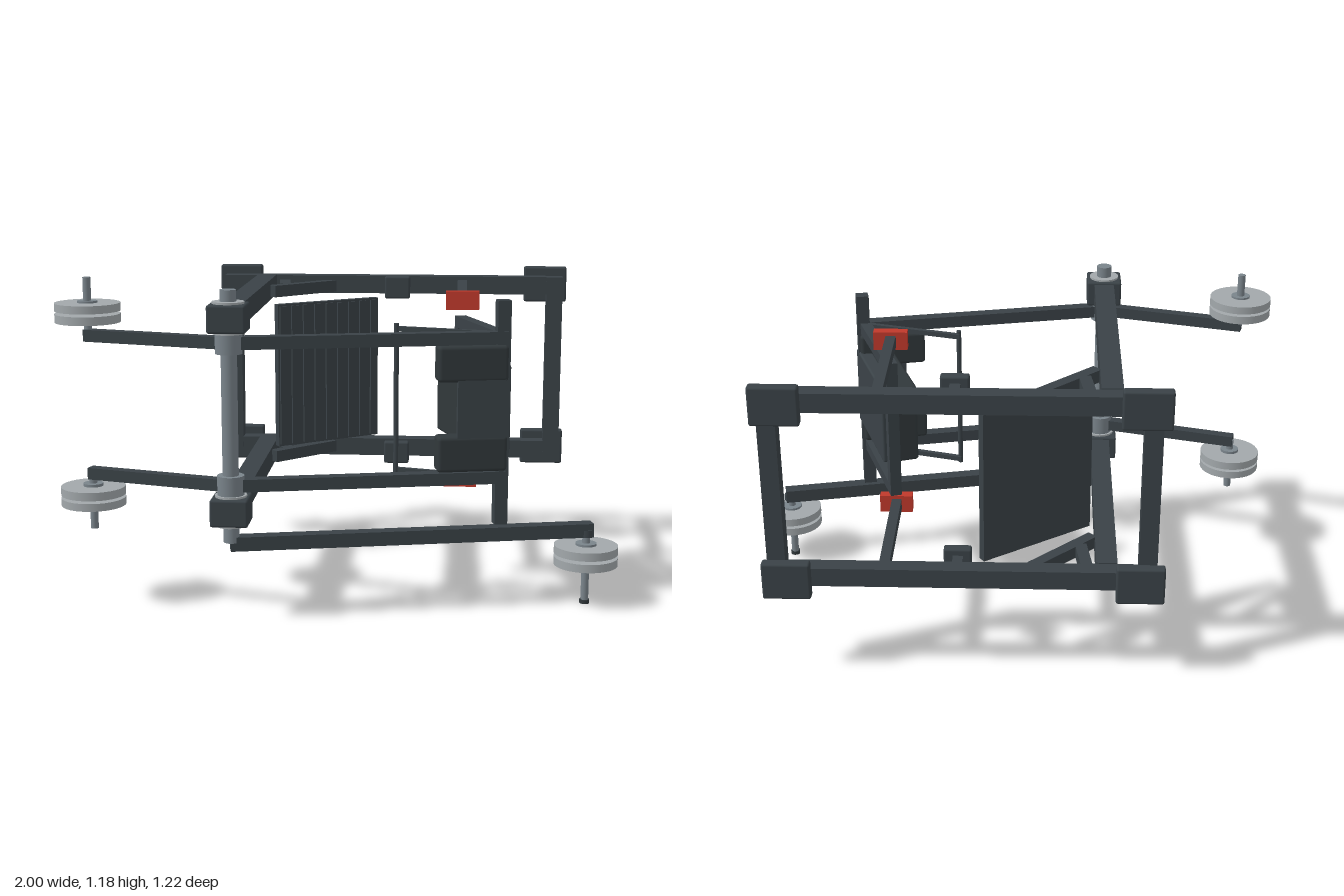
import * as THREE from 'three';
import { RoundedBoxGeometry } from 'three/addons/geometries/RoundedBoxGeometry.js';

const mat = (name, color) => {
  const m = new THREE.MeshStandardMaterial({ color });
  m.name = name;
  return m;
};

export function createModel() {
  const frame = mat('charcoal frame', 0x3a4247);
  const pad = mat('dark padding', 0x31383b);
  const steel = mat('grey steel', 0x7a848b);
  const plate = mat('pale plates', 0xa2a8ab);
  const red = mat('red', 0xc0392b);
  const model = new THREE.Group();

  const add = (parent, name, geo, m, x, y, z) => {
    const mesh = new THREE.Mesh(geo, m);
    mesh.name = name;
    mesh.position.set(x, y, z);
    parent.add(mesh);
    return mesh;
  };
  // box given by its limits on each axis
  const box = (name, m, x0, x1, y0, y1, z0, z1, parent = model) =>
    add(parent, name, new THREE.BoxGeometry(x1 - x0, y1 - y0, z1 - z0), m,
      (x0 + x1) / 2, (y0 + y1) / 2, (z0 + z1) / 2);
  const softBox = (name, m, x0, x1, y0, y1, z0, z1, r, parent = model) =>
    add(parent, name, new RoundedBoxGeometry(x1 - x0, y1 - y0, z1 - z0, 2, r), m,
      (x0 + x1) / 2, (y0 + y1) / 2, (z0 + z1) / 2);
  // upright cylinder between two heights
  const cyl = (name, m, r, y0, y1, x, z, seg = 32) =>
    add(model, name, new THREE.CylinderGeometry(r, r, y1 - y0, seg), m, x, (y0 + y1) / 2, z);
  // level beam between two (x, z) points
  const beam = (name, m, a, b, y, w, h) => {
    const dx = b[0] - a[0], dz = b[1] - a[1];
    const mesh = add(model, name, new THREE.BoxGeometry(Math.hypot(dx, dz), h, w), m,
      (a[0] + b[0]) / 2, y, (a[1] + b[1]) / 2);
    mesh.rotation.y = Math.atan2(-dz, dx);
    return mesh;
  };

  const MID = 0.73;           // mirror height of the frame
  const px = -0.365, pz = 0.54; // pivot post

  // Base frame
  for (const x of [-0.505, 0.79]) box('baseUpright', frame, x - 0.032, x + 0.032, 0.36, 1.1, -0.575, -0.51);
  for (const s of [-1, 1]) {
    const y = MID + s * 0.335;
    box('baseRail', frame, -0.537, 0.822, y - 0.035, y + 0.035, -0.575, -0.512);
    for (const x of [-0.48, 0.755])
      softBox('foot', frame, x - 0.085, x + 0.085, y - 0.07, y + 0.07, -0.612, -0.57, 0.008);

    // Long beams and pivot housings
    box('sideBeam', frame, -0.402, -0.327, y - 0.039, y + 0.039, -0.512, 0.5);
    softBox('pivotHousing', frame, px - 0.066, px + 0.066, y - 0.048, y + 0.048, 0.475, 0.607, 0.008);
    cyl('pivotNut', plate, 0.056, y - 0.055, y + 0.055, px, pz, 18);

    // Foot plate braces
    beam('footBrace', frame, [-0.32, -0.29], [-0.1, -0.51], y - s * 0.005, 0.042, 0.045);
    beam('footStrut', frame, [-0.275, -0.36], [-0.295, -0.515], y - s * 0.005, 0.042, 0.045);

    // Bumpers
    box('bumperStem', frame, 0.145, 0.182, y - 0.02, y + 0.02, -0.512, -0.44);
    softBox('bumper', frame, 0.115, 0.215, y - 0.044, y + 0.044, -0.445, -0.405, 0.008);

    // Stop rods with red stops
    box('stopRod', frame, 0.403, 0.44, y - 0.021, y + 0.021, -0.512, -0.02);
    box('redStop', red, 0.362, 0.485, y - 0.034, y + 0.034, -0.028, 0.01);

    // Swinging arms and collars
    const ya = MID + s * 0.248;
    beam('swingArm', frame, [px, pz], [0.58, 0.332], ya, 0.046, 0.044);
    beam('weightArm', frame, [px, pz], [-0.895, 0.388], ya, 0.04, 0.042);
    cyl('collar', steel, 0.047, ya - 0.036, ya + 0.036, px, pz);

    // Grip supports
    beam('gripSupport', frame, [0.185, 0.215], [0.57, 0.325], ya + s * 0.01, 0.018, 0.018);

    // Upper weights on their pegs
    const peg = (a, b) => [Math.min(a, b), Math.max(a, b)];
    const disc = (name, m, r, a, b) =>
      cyl(name, m, r, ...peg(MID + s * a, MID + s * b), -0.885, 0.39);
    disc('weightPeg', steel, 0.014, 0.245, 0.452);
    disc('weightHub', steel, 0.035, 0.285, 0.37);
    disc('weightPlate', plate, 0.115, 0.295, 0.325);
    disc('weightPlate', plate, 0.115, 0.335, 0.363);
  }

  // Pivot post and grip bar
  cyl('pivotPost', steel, 0.028, 0.28, 1.16, px, pz);
  cyl('gripBar', frame, 0.009, 0.455, 1.008, 0.19, 0.222, 16);

  // Low weight arm with its plates
  beam('lowArm', frame, [px - 0.005, pz], [0.9, 0.26], 0.275, 0.05, 0.05);
  cyl('lowPegHub', frame, 0.027, 0.25, 0.276, 0.88, 0.268);
  cyl('lowPeg', steel, 0.014, 0.008, 0.27, 0.88, 0.268);
  cyl('lowPegCap', pad, 0.018, 0, 0.014, 0.88, 0.268);
  cyl('lowWeightHub', steel, 0.038, 0.14, 0.226, 0.88, 0.268);
  for (const y of [0.146, 0.188]) cyl('lowWeightPlate', plate, 0.115, y, y + 0.03, 0.88, 0.268);

  // Ribbed foot plate, ribs facing outwards
  const foot = new THREE.Group();
  foot.name = 'footPlate';
  foot.position.set(-0.105, MID, -0.382);
  foot.rotation.y = 0.62;
  model.add(foot);
  box('footBoard', frame, -0.23, 0.23, -0.282, 0.282, -0.028, 0, foot);
  for (let i = 0; i < 9; i++) {
    const x = -0.208 + i * 0.052;
    box('footRib', frame, x - 0.016, x + 0.016, -0.275, 0.275, -0.002, 0.008, foot);
  }

  // Tilted back rest: local x runs through its thickness, local z along its length
  const back = new THREE.Group();
  back.name = 'backRest';
  back.rotation.y = 0.336;
  model.add(back);
  softBox('backPad', pad, 0.317, 0.402, 0.578, 0.88, 0.1, 0.475, 0.012, back);
  softBox('backBoard', frame, 0.4, 0.452, 0.578, 0.882, 0.112, 0.52, 0.008, back);
  for (const s of [-1, 1]) {
    const y = MID + s * 0.248;
    box('backRail', frame, 0.398, 0.44, y - 0.021, y + 0.021, 0.062, 0.5, back);
  }
  box('backCrossbar', frame, 0.398, 0.44, 0.461, 0.999, 0.06, 0.1, back);

  // Shoulder pads and the upright bar behind them
  const shoulders = new THREE.Group();
  shoulders.name = 'shoulders';
  shoulders.position.set(0.465, MID, 0.355);
  shoulders.rotation.y = 0.215;
  model.add(shoulders);
  box('shoulderBar', frame, 0.08, 0.127, -0.42, 0.378, -0.024, 0.02, shoulders);
  box('shoulderPlate', frame, -0.06, 0.11, -0.215, 0.215, 0.01, 0.03, shoulders);
  for (const s of [-1, 1])
    softBox('shoulderPad', pad, -0.13, 0.12, s * 0.16 - 0.064, s * 0.16 + 0.064, -0.045, 0.032, 0.014, shoulders);

  return model;
}
